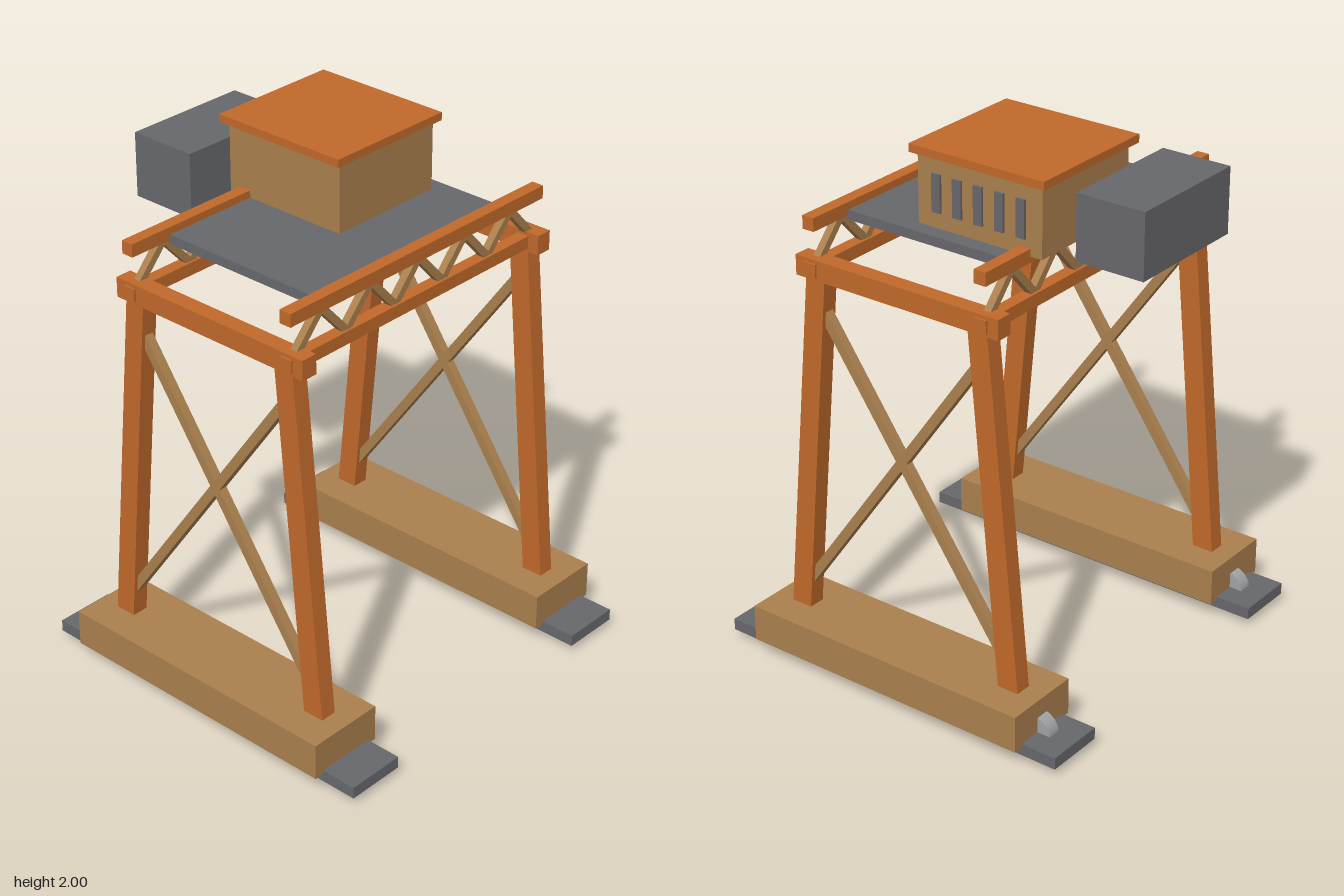
import * as THREE from 'three';

const mat = (name, color) => {
  const m = new THREE.MeshStandardMaterial({ color });
  m.name = name;
  return m;
};

export function createModel() {
  const orange = mat('orange paint', 0xc0692a);
  const tan = mat('tan paint', 0xaa7f4e);
  const dark = mat('dark grey', 0x67686c);
  const steel = mat('light steel', 0xa0a4a7);
  const model = new THREE.Group();
  model.name = 'gantryCrane';

  const add = (name, geometry, material, parent = model) => {
    const mesh = new THREE.Mesh(geometry, material);
    mesh.name = name;
    parent.add(mesh);
    return mesh;
  };

  // Box given by its min and max on each axis
  const block = (name, [x0, x1], [y0, y1], [z0, z1], material, parent) => {
    const mesh = add(name, new THREE.BoxGeometry(x1 - x0, y1 - y0, z1 - z0), material, parent);
    mesh.position.set((x0 + x1) / 2, (y0 + y1) / 2, (z0 + z1) / 2);
    return mesh;
  };

  // Straight bar between two points; w across the plane of the frame, d along the x axis (or z for trusses)
  const bar = (name, a, b, sx, sz, material, parent) => {
    const dir = b.clone().sub(a);
    const mesh = add(name, new THREE.BoxGeometry(sx, dir.length(), sz), material, parent);
    mesh.position.copy(a).add(b).multiplyScalar(0.5);
    mesh.quaternion.setFromUnitVectors(new THREE.Vector3(0, 1, 0), dir.normalize());
    return mesh;
  };
  const V = (x, y, z) => new THREE.Vector3(x, y, z);

  // Leaning leg: a box sheared in z so that both ends stay level
  const legGeometry = (side) => {
    const g = new THREE.BoxGeometry(0.064, 1.36, 0.085);
    const p = g.attributes.position;
    for (let i = 0; i < p.count; i++) {
      const t = p.getY(i) > 0 ? 1 : 0;
      p.setZ(i, p.getZ(i) * (t ? 0.95 : 1) + side * (t ? 0.342 : 0.468));
    }
    g.computeVertexNormals();
    return g;
  };

  for (const s of [-1, 1]) {
    const x = s * 0.6;
    const frame = new THREE.Group();
    frame.name = s > 0 ? 'leftFrame' : 'rightFrame';
    model.add(frame);

    // Travelling base
    block('base', [x - 0.152, x + 0.152], [0.06, 0.2], [-0.59, 0.59], tan, frame);
    block('bogiePlate', [x - 0.115, x + 0.115], [0.03, 0.075], [-0.73, 0.73], dark, frame);
    for (const z of [0.3, -0.295, -0.575]) {
      const wheel = add('wheel', new THREE.CylinderGeometry(0.068, 0.068, 0.052, 16), steel, frame);
      wheel.rotation.z = Math.PI / 2;
      wheel.position.set(x, 0.068, z);
    }

    // Legs, cross bracing and end beam
    for (const f of [-1, 1]) {
      add('leg', legGeometry(f), orange, frame).position.set(x, 0.87, 0);
      bar('crossBrace', V(x, 1.42, f * 0.355), V(x, 0.27, f * -0.46), 0.035, 0.035, tan, frame);
    }
    block('endBeam', [x - 0.032, x + 0.032], [1.51, 1.585], [-0.43, 0.43], orange, frame);
  }

  // Front and back trusses
  for (const s of [-1, 1]) {
    const z = s * 0.362;
    const truss = new THREE.Group();
    truss.name = s > 0 ? 'frontTruss' : 'backTruss';
    model.add(truss);
    block('lowerChord', [-0.64, 0.64], [1.523, 1.571], [z - 0.024, z + 0.024], orange, truss);
    block('upperChord', [-0.64, 0.64], [1.692, 1.741], [z - 0.024, z + 0.024], orange, truss);
    for (let i = 0; i < 10; i++) {
      const y = (k) => (k % 2 ? 1.697 : 1.566);
      bar('lattice', V(-0.6 + i * 0.12, y(i), z), V(-0.48 + i * 0.12, y(i + 1), z), 0.028, 0.028, tan, truss);
    }
  }

  // Deck, cabin and machinery box
  block('deck', [-0.463, 0.463], [1.677, 1.713], [-0.345, 0.345], dark);
  block('cabin', [-0.075, 0.402], [1.713, 1.972], [-0.432, 0.08], tan);
  block('cabinRoof', [-0.098, 0.43], [1.97, 2.0], [-0.458, 0.096], orange);
  block('machineryBox', [-0.25, 0.245], [1.658, 1.902], [-0.722, -0.452], dark);
  for (let i = 0; i < 5; i++) {
    const z = -i * 0.087;
    block('cabinWindow', [0.402, 0.411], [1.77, 1.908], [z - 0.018, z + 0.018], dark);
  }

  return model;
}
